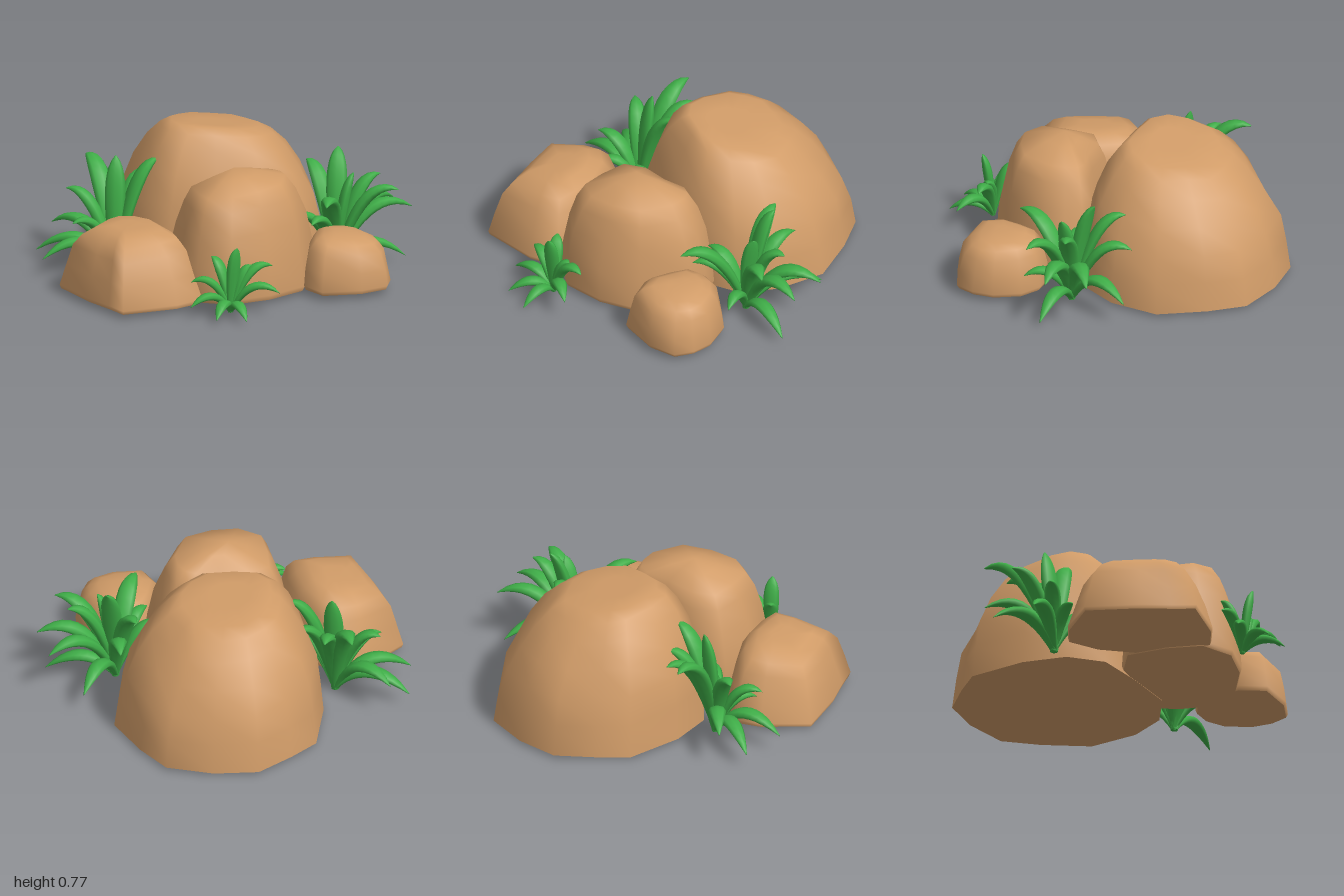
import * as THREE from 'three';
import { mergeGeometries } from 'three/addons/utils/BufferGeometryUtils.js';

const V = (x, y, z) => new THREE.Vector3(x, y, z);

// Joins rings (counter-clockwise around the path) and closes the far end at a tip point.
function loft(rings, tip) {
  const n = rings[0].length, index = [];
  for (let k = 0; k < rings.length; k++) {
    for (let i = 0; i < n; i++) {
      const a = k * n + i, b = k * n + (i + 1) % n;
      if (k < rings.length - 1) index.push(a, b, a + n, b, b + n, a + n);
      else index.push(a, b, rings.length * n);
    }
  }
  const g = new THREE.BufferGeometry().setFromPoints([...rings.flat(), tip]);
  g.setIndex(index);
  g.computeVertexNormals();
  return g;
}

// Boulder: ground outline drawn in towards the top centre, with a sloping top.
function rockGeometry({ outline, top, base, height, slope, levels }) {
  const [cx, cz] = top;
  const pts = [...outline].reverse();
  const rings = levels.map(([f, s], k) => pts.map(([px, pz], i) => {
    const wob = k > 1 ? 1 + 0.02 * Math.sin(i * 2.3 + k * 1.1) : 1;
    const x = cx + (px - cx) * s * wob, z = cz + (pz - cz) * s * wob;
    const h = height + slope[0] * (x - cx) + slope[1] * (z - cz);
    return V(x, base + f * (h - base), z);
  }));
  const body = loft(rings, V(cx, height, cz));
  // flat underside with its own vertices, so the bottom edge stays sharp
  const under = loft([[...rings[0]].reverse()], V(cx, base, cz));
  return mergeGeometries([body, under]);
}

// Leaf: a thick blade with a blunt point, arching from base to tip.
function leafGeometry(base, tip) {
  const d = tip.clone().sub(base), reach = Math.hypot(d.x, d.z);
  const ctrl = V(base.x + d.x * 0.42, base.y + d.y * 0.76 + reach * 0.53, base.z + d.z * 0.42);
  const curve = new THREE.QuadraticBezierCurve3(base, ctrl, tip);
  const side = V(-d.z, 0, d.x).normalize();
  const rings = [];
  for (let k = 0; k < 12; k++) {
    const u = k / 11 * 0.98, p = curve.getPoint(u), t = curve.getTangent(u);
    const normal = t.clone().cross(side).normalize();
    const w = 0.061 * Math.sqrt(d.length())
      * (0.45 * (1 - u) + 0.95 * Math.pow(Math.sin(Math.PI * Math.pow(u, 1.15)), 0.8));
    rings.push(Array.from({ length: 8 }, (_, i) => {
      const a = i / 8 * Math.PI * 2;
      return p.clone().addScaledVector(side, w * Math.cos(a))
        .addScaledVector(normal, 0.58 * w * Math.sin(a));
    }));
  }
  const under = loft([[...rings[0]].reverse()], base.clone());
  return mergeGeometries([loft(rings, tip), under]);
}

const ROCKS = {
  largeBackRock: {
    outline: [[-0.62, -0.54], [-0.53, -0.7], [-0.4, -0.89], [-0.17, -0.97], [0.09, -0.985], [0.27, -0.86],
      [0.47, -0.67], [0.52, -0.4], [0.47, -0.18], [0.3, 0], [0, 0.07], [-0.27, 0.11], [-0.46, 0], [-0.57, -0.22]],
    top: [-0.08, -0.3], base: 0.02, height: 0.745, slope: [-0.06, 0.13],
    levels: [[0, 1], [0.25, 0.965], [0.47, 0.91], [0.67, 0.8], [0.84, 0.67], [0.95, 0.54], [1, 0.43], [1, 0.2]],
  },
  middleRock: {
    outline: [[-0.26, 0.25], [-0.13, 0.1], [0.1, 0.02], [0.28, -0.1], [0.37, -0.09], [0.45, -0.02],
      [0.515, 0.09], [0.49, 0.37], [0.33, 0.55], [0.13, 0.67], [-0.07, 0.64], [-0.18, 0.47]],
    top: [0.1, 0.26], base: 0.022, height: 0.67, slope: [0.12, 0],
    levels: [[0, 0.97], [0.04, 1], [0.3, 0.96], [0.55, 0.88], [0.74, 0.77], [0.86, 0.65], [0.94, 0.3]],
  },
  leftFrontRock: {
    outline: [[-0.82, 0.46], [-0.69, 0.22], [-0.58, 0.12], [-0.4, 0.17], [-0.22, 0.3], [-0.09, 0.5],
      [-0.03, 0.66], [-0.15, 0.78], [-0.43, 0.92], [-0.52, 0.82], [-0.64, 0.7]],
    top: [-0.45, 0.5], base: 0.027, height: 0.4, slope: [0.09, -0.06],
    levels: [[0, 0.98], [0.06, 1], [0.4, 0.9], [0.72, 0.79], [0.88, 0.66], [0.99, 0.46], [1.01, 0.22]],
  },
  smallRightRock: {
    outline: [[0.48, 0.22], [0.48, 0.08], [0.56, 0], [0.67, -0.03], [0.79, 0], [0.9, 0.11],
      [0.94, 0.22], [0.935, 0.33], [0.81, 0.43], [0.6, 0.49], [0.49, 0.38]],
    top: [0.68, 0.21], base: 0.032, height: 0.315, slope: [-0.07, 0],
    levels: [[0, 0.96], [0.08, 1], [0.4, 0.95], [0.74, 0.86], [0.9, 0.7], [0.98, 0.5], [1.01, 0.22]],
  },
};

// Plants: root point, then leaf tips.
const PLANTS = {
  leftPlant: [[-0.57, 0.01, 0.01], [
    [-1, 0.08, -0.04], [-0.93, 0.2, -0.17], [-0.94, 0.1, 0.2], [-0.76, 0.54, -0.33], [-0.6, 0.5, -0.31],
    [-0.57, 0.62, -0.06], [-0.34, 0.6, -0.1], [-0.43, 0.5, -0.22], [-0.27, 0.22, 0.17], [-0.37, 0.25, 0.1],
    [-0.78, 0.3, 0.18], [-0.84, 0.43, -0.05], [-0.65, 0.2, 0.22]]],
  rightPlant: [[0.6, 0.01, -0.19], [
    [0.66, 0.13, -0.6], [0.48, 0.36, -0.51], [0.88, 0.29, -0.52], [1, 0.3, -0.33], [0.95, 0.44, -0.16],
    [0.97, 0.04, -0.27], [0.59, 0.43, 0.18], [0.5, 0.3, 0.08], [0.42, 0.52, -0.42], [0.6, 0.62, -0.35],
    [0.83, 0.48, -0.33], [0.7, 0.52, -0.2], [0.8, 0.17, -0.02], [0.38, 0.3, -0.05]]],
  frontPlant: [[0.13, 0.01, 0.74], [
    [0.35, 0.25, 0.66], [0.4, 0.13, 0.77], [0.24, 0.02, 0.95], [0.08, 0.03, 0.98], [-0.07, 0.07, 0.89],
    [-0.08, 0.18, 0.78], [0.02, 0.3, 0.68], [0.17, 0.38, 0.78], [0.24, 0.26, 0.69]]],
};

export function createModel() {
  const model = new THREE.Group();
  model.name = 'rocksAndPlants';
  const stone = new THREE.MeshStandardMaterial({ color: 0xd19c68 });
  stone.name = 'brown stone';
  const leaf = new THREE.MeshStandardMaterial({ color: 0x3fae48 });
  leaf.name = 'green leaf';

  const add = (name, geometry, material) => {
    const mesh = new THREE.Mesh(geometry, material);
    mesh.name = name;
    model.add(mesh);
  };
  for (const [name, spec] of Object.entries(ROCKS)) add(name, rockGeometry(spec), stone);
  for (const [name, [root, tips]] of Object.entries(PLANTS)) {
    add(name, mergeGeometries(tips.map((t) => leafGeometry(V(...root), V(...t)))), leaf);
  }
  return model;
}
